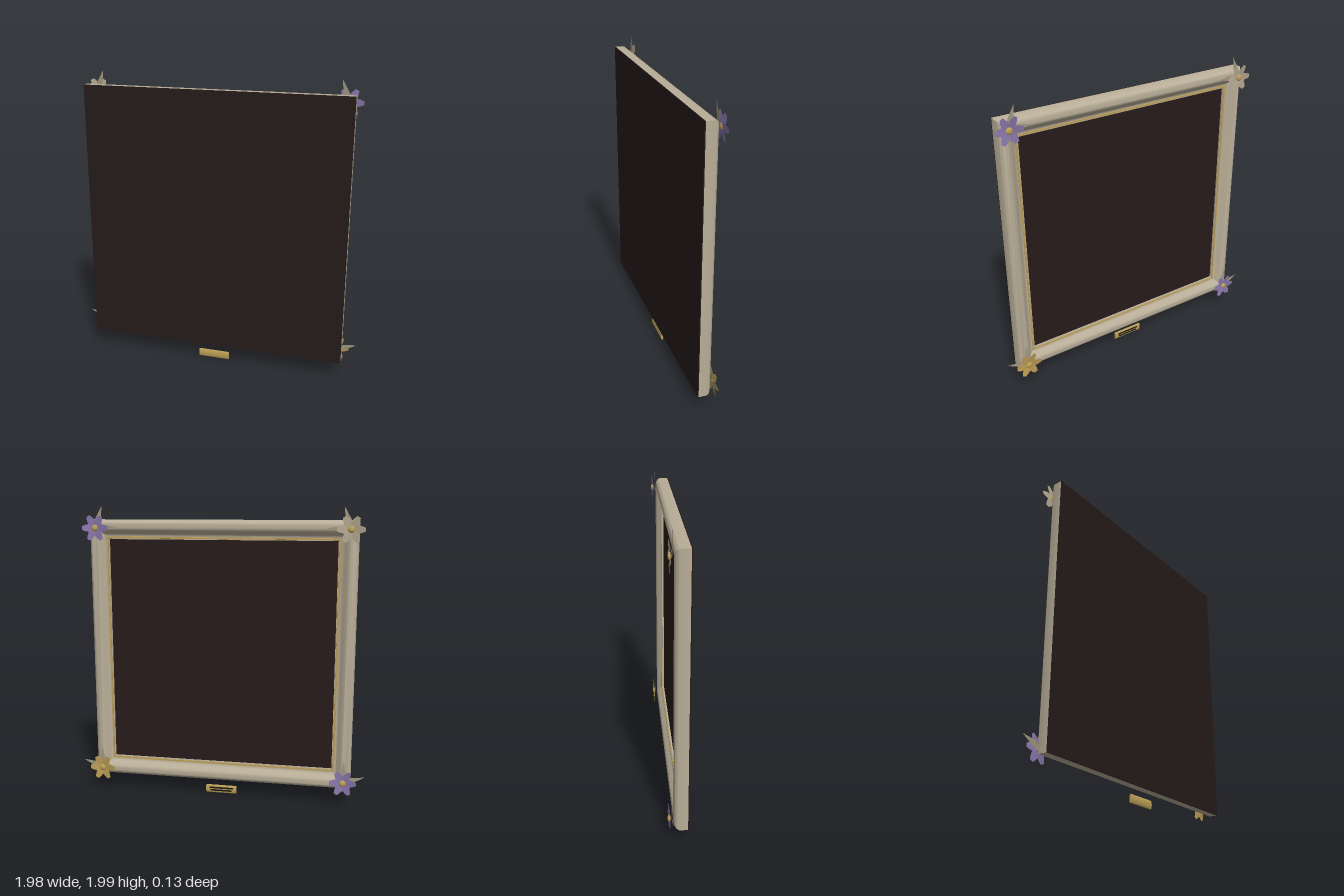
import * as THREE from 'three';
import { toCreasedNormals } from 'three/addons/utils/BufferGeometryUtils.js';

const material = (name, color, side = THREE.FrontSide) => {
  const m = new THREE.MeshStandardMaterial({ color, side });
  m.name = name;
  return m;
};

const HALF = 0.898;   // half the width of the frame
const CY = 1.0075;    // height of the frame's centre

// Sweeps a profile of [distance from centre, height toward -z] round a mitred square
function squareSweep(profile) {
  const pts = profile.map(([r, h]) => new THREE.Vector2(r * Math.SQRT2, h));
  const g = new THREE.LatheGeometry(pts, 4, Math.PI / 4);
  g.rotateX(-Math.PI / 2);
  return toCreasedNormals(g, 0.6);
}

// Flat plate from [along, halfWidth] stations, mirrored about its long axis
function bladeGeometry(stations) {
  const lower = stations.map(([x, w]) => new THREE.Vector2(x, -w));
  const upper = stations.map(([x, w]) => new THREE.Vector2(x, w)).reverse();
  return new THREE.ShapeGeometry(new THREE.Shape([...lower, ...upper]));
}

export function createModel() {
  const model = new THREE.Group();
  model.name = 'pictureFrame';
  const D = THREE.DoubleSide;
  const stone = material('warm stone', 0xb9ae98, D);
  const dark = material('dark brown', 0x261b1a);
  const gold = material('gold', 0xbda058, D);
  const purple = material('violet petals', 0x8876aa, D);
  const cream = material('cream petals', 0xb2a68e, D);
  const amber = material('amber petals', 0xb99a54, D);
  const sage = material('grey green leaves', 0xa0977f, D);
  const ink = material('plaque ink', 0x1c1614);

  const add = (parent, name, geometry, mat, x = 0, y = 0, z = 0) => {
    const mesh = new THREE.Mesh(geometry, mat);
    mesh.name = name;
    mesh.position.set(x, y, z);
    parent.add(mesh);
    return mesh;
  };

  // Moulding: straight outer wall, rounded shoulder, curved slope down to the opening
  const profile = [[HALF, -0.058]];
  for (let i = 0; i <= 8; i++) {
    const a = (i / 8) * Math.PI / 2;
    profile.push([HALF - 0.048 * (1 - Math.cos(a)), -0.01 + 0.041 * Math.sin(a)]);
  }
  profile.push([0.84, 0.029], [0.829, 0.023], [0.818, 0.014], [0.806, 0.003], [0.796, -0.005]);
  profile.push([0.785, -0.009], [0.767, -0.01], [0.767, -0.03]);
  add(model, 'moulding', squareSweep(profile), stone, 0, CY);

  // Thin gilded bead round the opening
  add(model, 'liner', squareSweep([[0.785, -0.01], [0.784, -0.005], [0.773, -0.005], [0.772, -0.011]]), gold, 0, CY);

  // Picture panel and backing board
  add(model, 'picturePanel', new THREE.BoxGeometry(1.56, 1.56, 0.036), dark, 0, CY, 0.04);
  add(model, 'backingBoard', new THREE.BoxGeometry(HALF * 2, HALF * 2, 0.006), dark, 0, CY, 0.061);

  // Corner flowers, each with six blunt petals, a button centre and two leaves
  const petal = bladeGeometry([[0, 0.014], [0.045, 0.026], [0.068, 0.021], [0.09, 0.012]]);
  const leaf = bladeGeometry([[0, 0.004], [0.03, 0.016], [0.06, 0.019], [0.1, 0.011], [0.15, 0.0005]]);
  const button = new THREE.SphereGeometry(0.022, 16, 10).scale(1, 1, 0.5);
  const corners = [
    [1, 1.85, purple, [108, 178]],
    [-1, 1.85, cream, [108, 178]],
    [1, 0.165, amber, [18, 88]],
    [-1, 0.165, purple, [18, 88]],
  ];
  for (const [side, y, mat, leafAngles] of corners) {
    const flower = new THREE.Group();
    flower.name = 'cornerFlower';
    flower.position.set(side * 0.845, y, -0.05);
    for (let i = 0; i < 6; i++) {
      const p = add(flower, 'petal', petal, mat);
      p.rotation.set(0.12, 0.08, i * Math.PI / 3, 'ZYX');
    }
    add(flower, 'flowerCentre', button, gold, 0, 0, -0.005);
    for (const deg of leafAngles) {
      const l = add(flower, 'leaf', leaf, sage, 0, 0, 0.01);
      l.rotation.set(0, -0.02, THREE.MathUtils.degToRad(side > 0 ? deg : 180 - deg), 'ZYX');
    }
    model.add(flower);
  }

  // Small lens-sectioned plaque below, with dark bars on its face
  const plaque = new THREE.Group();
  plaque.name = 'plaque';
  plaque.position.set(0, 0.029, 0.034);
  const plate = new THREE.CylinderGeometry(0.029, 0.029, 0.216, 24);
  plate.rotateZ(Math.PI / 2).scale(1, 1, 0.28);
  add(plaque, 'plaquePlate', plate, gold);
  for (const [y, w] of [[0.009, 0.17], [-0.009, 0.15]]) {
    add(plaque, 'plaqueBar', new THREE.BoxGeometry(w, 0.011, 0.004), ink, 0, y, -0.007);
  }
  model.add(plaque);

  return model;
}
